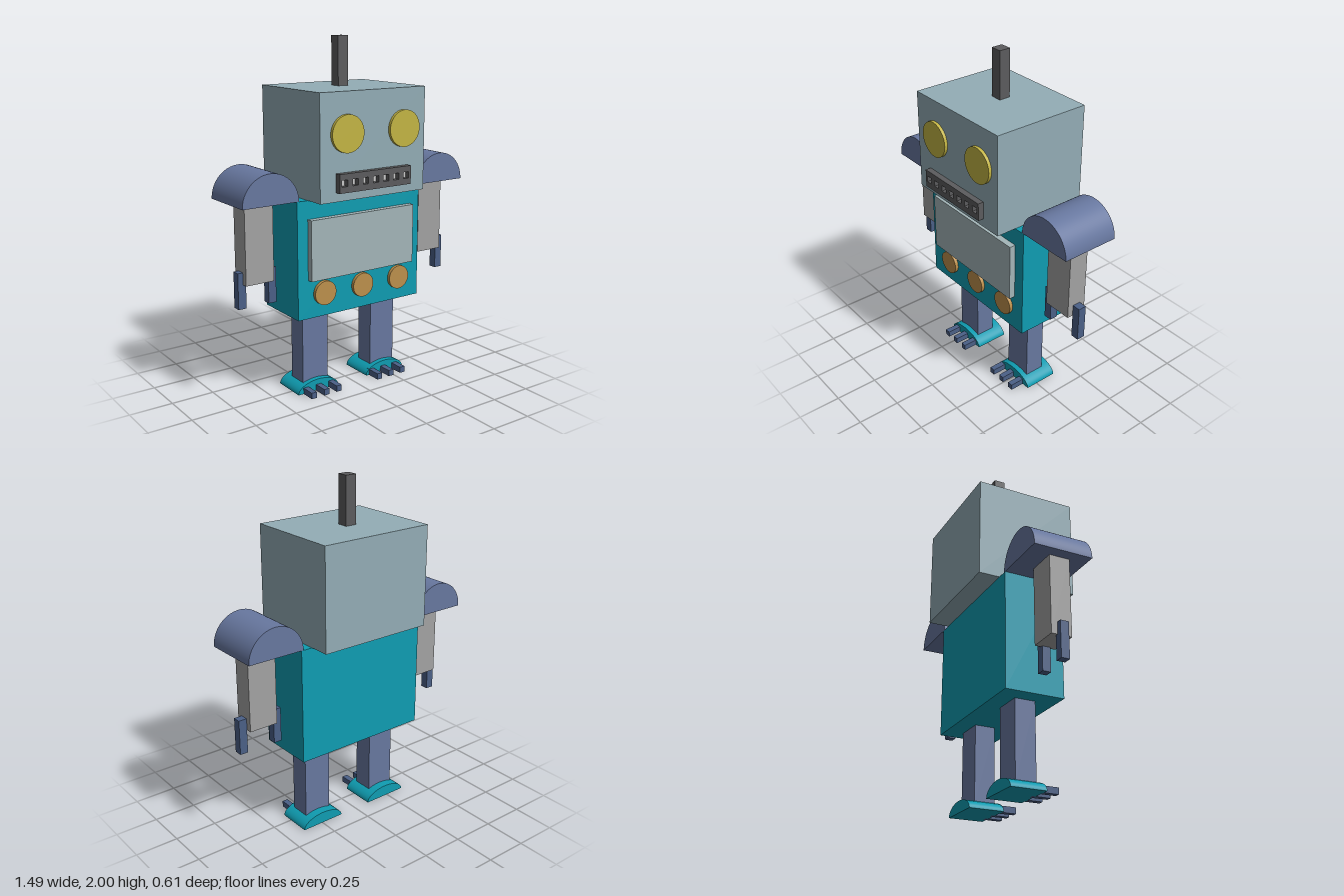
import * as THREE from 'three';

const paint = (color) => new THREE.MeshStandardMaterial({ color });
const M = {
  head: paint(0x93adb6), torso: paint(0x0f9db2), limb: paint(0x6878a0), claw: paint(0x4b6087),
  arm: paint(0xa3a3a3), dark: paint(0x5c5c5e), eye: paint(0xc4b544), knob: paint(0xbd904c),
  panel: paint(0xa4b6b9), tooth: paint(0xc4c4c4),
};

export function createModel() {
  const root = new THREE.Group();

  const add = (name, geometry, material, parent = root) => {
    const mesh = new THREE.Mesh(geometry, material);
    mesh.name = name;
    parent.add(mesh);
    return mesh;
  };
  // Box given by its extents on each axis
  const box = (name, [x0, x1], [y0, y1], [z0, z1], material, parent) => {
    const mesh = add(name, new THREE.BoxGeometry(x1 - x0, y1 - y0, z1 - z0), material, parent);
    mesh.position.set((x0 + x1) / 2, (y0 + y1) / 2, (z0 + z1) / 2);
    return mesh;
  };
  // Round disc facing the front
  const disc = (name, x, y, r, z0, z1, material) => {
    const g = new THREE.CylinderGeometry(r, r, z1 - z0, 48).rotateX(Math.PI / 2);
    add(name, g, material).position.set(x, y, (z0 + z1) / 2);
  };
  // Half-elliptical dome extruded along z, flat side down
  const dome = (name, x, y, rx, ry, z0, z1, material, parent) => {
    const s = new THREE.Shape();
    s.absellipse(0, 0, rx, ry, 0, Math.PI, false);
    s.closePath();
    const g = new THREE.ExtrudeGeometry(s, { depth: z1 - z0, bevelEnabled: false, curveSegments: 32 });
    // Smooth the curved wall, leaving the caps and the base flat
    const p = g.attributes.position, n = g.attributes.normal;
    for (let i = 0; i < p.count; i++) {
      if (Math.abs(n.getZ(i)) > 0.5 || n.getY(i) < -0.5) continue;
      const v = new THREE.Vector3(p.getX(i) / rx ** 2, p.getY(i) / ry ** 2, 0).normalize();
      n.setXYZ(i, v.x, v.y, 0);
    }
    add(name, g, material, parent).position.set(x, y, z0);
  };

  // Head and antenna
  box('head', [-0.35, 0.346], [1.147, 1.727], [-0.306, 0.274], M.head);
  box('antenna', [-0.045, 0.022], [1.727, 2], [-0.067, 0], M.dark);
  disc('rightEye', -0.182, 1.506, 0.102, 0.27, 0.292, M.eye);
  disc('leftEye', 0.196, 1.506, 0.102, 0.27, 0.292, M.eye);

  // Mouth grille with a row of square openings and teeth set back inside
  const grille = new THREE.Shape();
  grille.moveTo(-0.25, 1.197).lineTo(0.228, 1.197).lineTo(0.228, 1.3).lineTo(-0.25, 1.3).closePath();
  for (let i = 0; i < 7; i++) {
    const x = -0.217 + i * 0.0685, y = 1.249, h = 0.018;
    const hole = new THREE.Path();
    hole.moveTo(x - h, y - h).lineTo(x - h, y + h).lineTo(x + h, y + h).lineTo(x + h, y - h).closePath();
    grille.holes.push(hole);
    box('tooth', [x - h, x + h], [y - h, y + h], [0.27, 0.28], M.tooth);
  }
  add('mouth', new THREE.ExtrudeGeometry(grille, { depth: 0.034, bevelEnabled: false }), M.dark)
    .position.z = 0.274;

  // Torso with chest panel and three knobs
  box('torso', [-0.418, 0.414], [0.482, 1.147], [-0.186, 0.154], M.torso);
  box('chestPanel', [-0.352, 0.347], [0.702, 1.043], [0.15, 0.19], M.panel);
  for (const x of [-0.25, 0.006, 0.262]) disc('knob', x, 0.617, 0.069, 0.15, 0.174, M.knob);

  for (const [side, s] of [['right', -1], ['left', 1]]) {
    // Arm: domed shoulder, square arm, two claw fingers
    const arm = new THREE.Group();
    arm.name = side + 'Arm';
    arm.position.x = s < 0 ? -0.575 : 0.571;
    root.add(arm);
    dome('shoulder', 0, 1.147, 0.17, 0.17, -0.186, 0.154, M.limb, arm);
    const armX = s < 0 ? -0.019 : 0.015;
    box('upperArm', [armX - 0.086, armX + 0.086], [0.703, 1.147], [-0.064, 0.054], M.arm, arm);
    for (const x of s < 0 ? [-0.111, 0.076] : [-0.096, 0.125])
      box('finger', [x - 0.024, x + 0.024], [0.567, 0.77], [-0.029, 0.019], M.claw, arm);

    // Leg: square shin, domed foot, three toes
    const leg = new THREE.Group();
    leg.name = side + 'Leg';
    leg.position.x = s < 0 ? -0.234 : 0.244;
    root.add(leg);
    box('shin', [-0.085, 0.085], [0.04, 0.482], [-0.082, 0.037], M.limb, leg);
    dome('foot', 0, 0, 0.136, 0.067, -0.135, 0.069, M.torso, leg);
    const toeX = s < 0 ? 0 : -0.014;
    for (const d of [-0.085, 0, 0.085])
      box('toe', [toeX + d - 0.017, toeX + d + 0.017], [0, 0.036], [0.05, 0.154], M.claw, leg);
  }
  return root;
}
